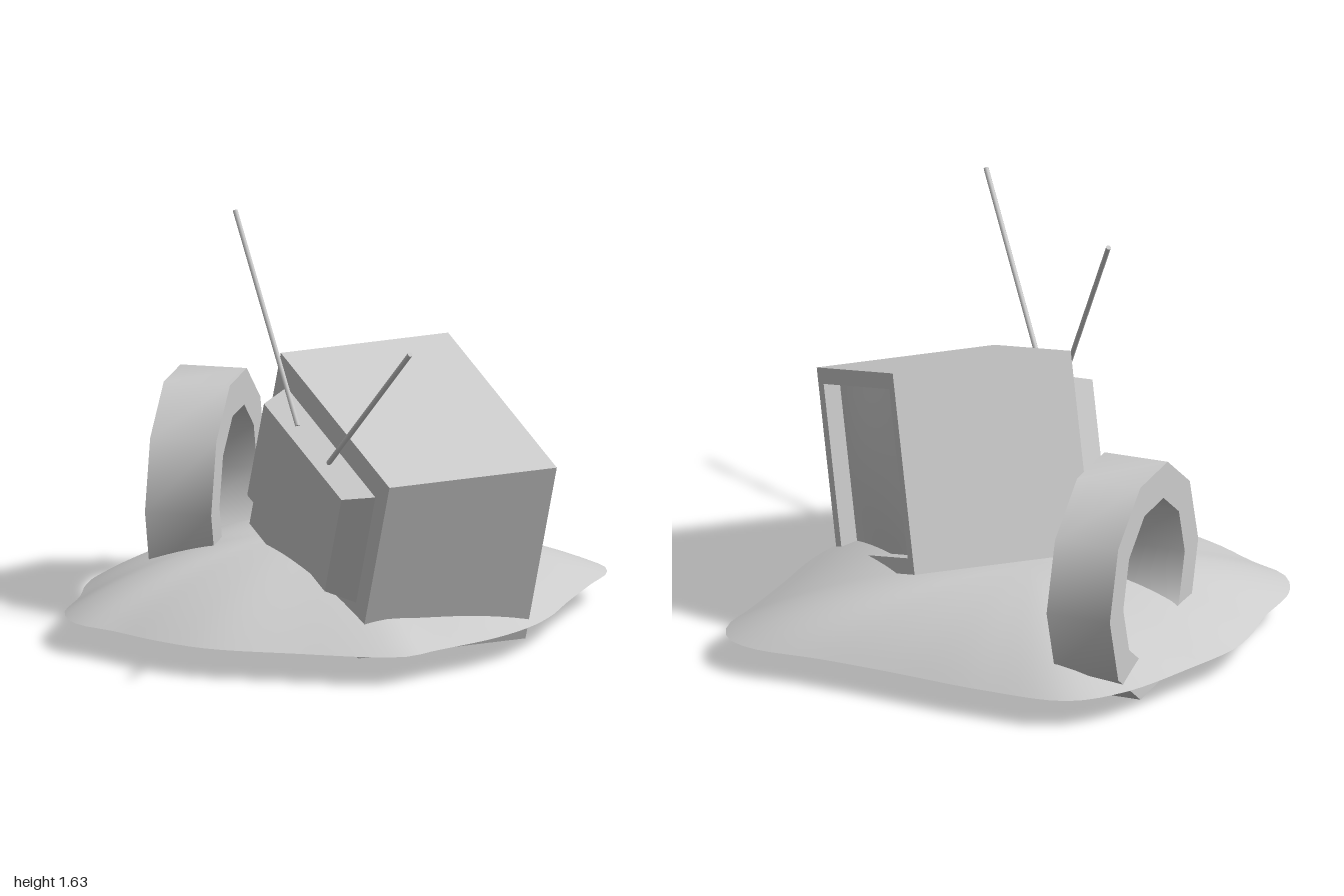
import * as THREE from 'three';
import { toCreasedNormals } from 'three/addons/utils/BufferGeometryUtils.js';

const grey = new THREE.MeshStandardMaterial({ color: 0xcccccc });
const greyDouble = new THREE.MeshStandardMaterial({ color: 0xcccccc, side: THREE.DoubleSide });

function part(name, geometry, parent, material = grey) {
  const mesh = new THREE.Mesh(geometry, material);
  mesh.name = name;
  parent.add(mesh);
  return mesh;
}

// Low open mound: rings shrinking from an irregular outline to the apex
function moundGeometry() {
  const outline = [
    [-1, -0.03], [-0.96, -0.27], [-0.87, -0.62], [-0.73, -0.81], [-0.4, -0.885], [0, -0.915],
    [0.3, -0.945], [0.57, -0.99], [0.7, -0.955], [0.775, -0.84], [0.79, -0.65], [0.82, -0.35],
    [0.85, -0.12], [0.845, 0.08], [0.79, 0.3], [0.66, 0.57], [0.6, 0.7], [0.48, 0.76],
    [0.2, 0.82], [-0.15, 0.88], [-0.38, 0.84], [-0.6, 0.76], [-0.77, 0.71], [-0.88, 0.57],
    [-0.93, 0.3], [-0.98, 0.13],
  ].map(([x, z]) => new THREE.Vector3(x, 0, z));
  const around = 96, rings = 16, rim = 0.115, rise = 0.225;
  const apex = new THREE.Vector3(-0.18, 0, -0.2);
  const curve = new THREE.CatmullRomCurve3(outline, true);
  const edge = curve.getSpacedPoints(around).slice(0, around);
  const position = [apex.x, rim + rise, apex.z], index = [];
  for (let r = 1; r <= rings; r++) {
    const s = r / rings;
    for (const p of edge) {
      const q = apex.clone().lerp(p, s);
      position.push(q.x, rim + rise * (1 - Math.pow(s, 2.3)), q.z);
    }
  }
  for (let i = 0; i < around; i++) {
    const j = (i + 1) % around;
    index.push(0, 1 + j, 1 + i);
    for (let r = 0; r < rings - 1; r++) {
      const a = 1 + r * around, b = a + around;
      index.push(a + i, a + j, b + i, a + j, b + j, b + i);
    }
  }
  const g = new THREE.BufferGeometry();
  g.setAttribute('position', new THREE.Float32BufferAttribute(position, 3));
  g.setIndex(index);
  g.computeVertexNormals();
  return g;
}

// Ten-sided thick ring, axis along local z
function ringGeometry(outer, inner, width) {
  const polygon = (r) => Array.from({ length: 10 }, (_, i) =>
    new THREE.Vector2(r * Math.cos(i * Math.PI / 5), r * Math.sin(i * Math.PI / 5)));
  const shape = new THREE.Shape(polygon(outer));
  shape.holes.push(new THREE.Path(polygon(inner).reverse()));
  const g = new THREE.ExtrudeGeometry(shape, { depth: width, bevelEnabled: false });
  g.translate(0, 0, -width / 2);
  return toCreasedNormals(g, 0.8);
}

function rectangle(Type, w, h) {
  return new Type([[-w, -h], [w, -h], [w, h], [-w, h]].map(([x, y]) => new THREE.Vector2(x, y)));
}

// Rod between two points
function rod(name, from, to, parent) {
  const a = new THREE.Vector3(...from), d = new THREE.Vector3(...to).sub(a);
  const mesh = part(name, new THREE.CylinderGeometry(0.01, 0.01, d.length(), 8), parent);
  mesh.position.copy(a).addScaledVector(d, 0.5);
  mesh.quaternion.setFromUnitVectors(new THREE.Vector3(0, 1, 0), d.normalize());
}

// Television: screen on local -z, rear cover on local +z
function television() {
  const tv = new THREE.Group();
  tv.name = 'television';
  const W = 0.487, H = 0.388, D = 0.359, recess = 0.07;

  part('cabinet', new THREE.BoxGeometry(2 * W, 2 * H, 2 * D - recess), tv).position.z = recess / 2;

  const frame = rectangle(THREE.Shape, W, H);
  frame.holes.push(rectangle(THREE.Path, 0.42, 0.326));
  part('screenFrame', new THREE.ExtrudeGeometry(frame, { depth: recess, bevelEnabled: false }), tv)
    .position.z = -D;

  // Bulging screen
  const screen = new THREE.PlaneGeometry(0.84, 0.652, 16, 12);
  const sp = screen.attributes.position;
  for (let i = 0; i < sp.count; i++) {
    const x = sp.getX(i) / 0.42, y = sp.getY(i) / 0.326;
    sp.setZ(i, 0.045 * (1 - x * x) * (1 - y * y));
  }
  screen.rotateY(Math.PI);
  screen.computeVertexNormals();
  part('screen', screen, tv).position.z = -D + recess - 0.005;

  // Tapered rear cover
  const cover = new THREE.BoxGeometry(1, 1, 0.117);
  const cp = cover.attributes.position;
  for (let i = 0; i < cp.count; i++) {
    const outer = cp.getZ(i) > 0;
    const top = outer ? 0.26 : 0.288, bottom = outer ? -0.155 : -0.19;
    cp.setX(i, Math.sign(cp.getX(i)) * (outer ? 0.347 : 0.397));
    cp.setY(i, cp.getY(i) > 0 ? top : bottom);
  }
  cover.computeVertexNormals();
  part('rearCover', cover, tv).position.z = D + 0.0585;

  // Tilted pose
  const z = new THREE.Vector3(-0.642, 0, 0.767).normalize();
  const x = new THREE.Vector3(0.72, -0.34, 0.603).normalize();
  const y = z.clone().cross(x).normalize();
  tv.quaternion.setFromRotationMatrix(new THREE.Matrix4().makeBasis(x, y, z));
  tv.position.set(0.315, 0.58, 0.07);
  return tv;
}

export function createModel() {
  const model = new THREE.Group();
  model.name = 'junkPile';

  part('mound', moundGeometry(), model, greyDouble);

  const tyre = part('tyre', ringGeometry(0.46, 0.32, 0.26), model);
  tyre.position.set(-0.665, 0.44, -0.3);
  tyre.rotation.y = THREE.MathUtils.degToRad(100);

  model.add(television());
  rod('antennaRight', [0, 0.89, 0.36], [-0.4, 1.625, 0.03], model);
  rod('antennaLeft', [0.2, 0.8, 0.525], [0.73, 1.38, 0.975], model);
  return model;
}
